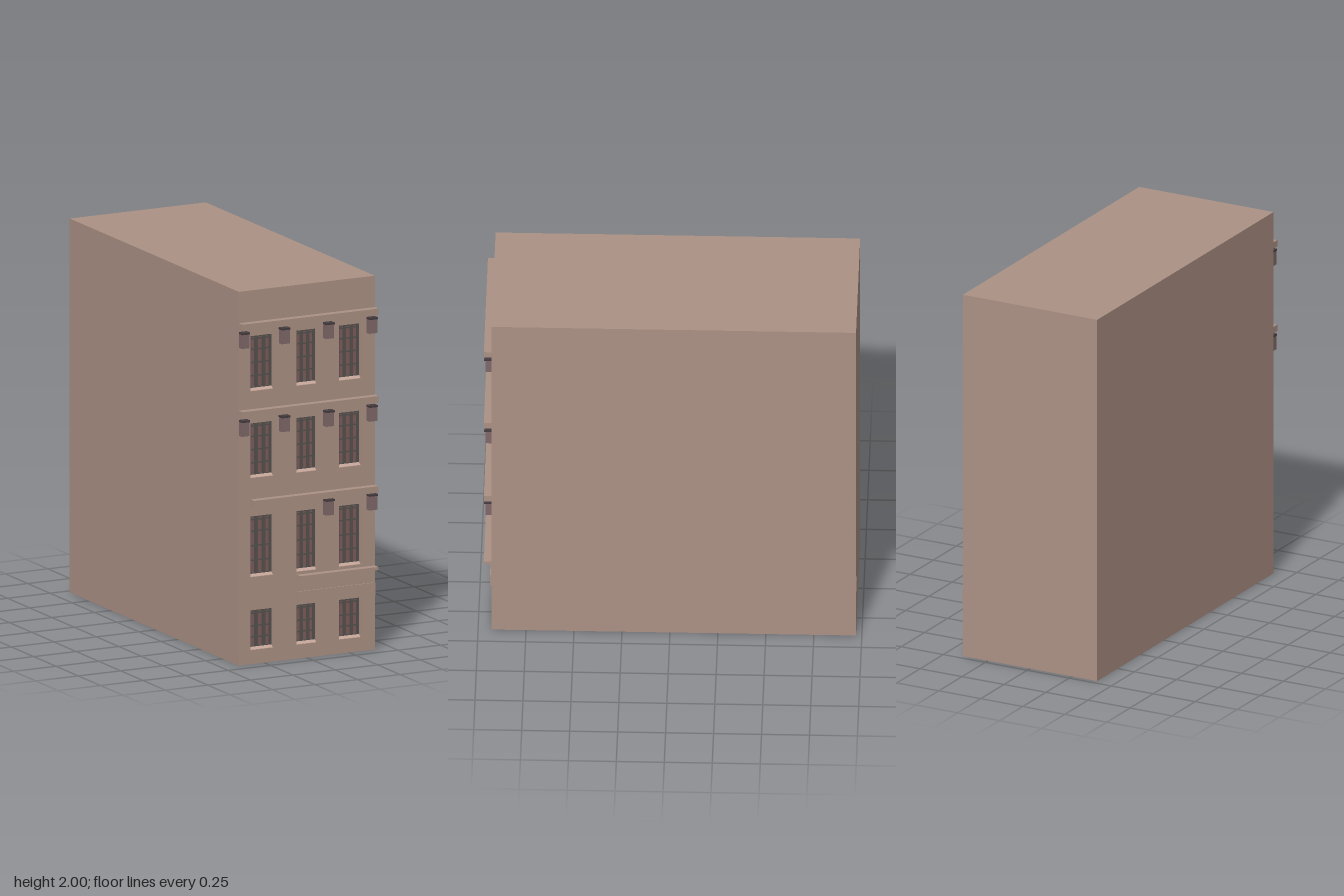
import * as THREE from 'three';

const mat = (color) => new THREE.MeshStandardMaterial({ color });
const brick = mat(0xac9185), sillStone = mat(0xc2a396), frameDark = mat(0x55524e);
const glassTint = mat(0x805a5a), bracketStone = mat(0x80696a), capDark = mat(0x453c3f);

const FRONT = 0.93, BACK = -0.97, RECESS = 0.035;

// Box given by its limits on each axis
function block(name, material, [x0, x1], [y0, y1], [z0, z1]) {
  const mesh = new THREE.Mesh(new THREE.BoxGeometry(x1 - x0, y1 - y0, z1 - z0), material);
  mesh.position.set((x0 + x1) / 2, (y0 + y1) / 2, (z0 + z1) / 2);
  mesh.name = name;
  return mesh;
}

const columns = [[-0.33, -0.2], [-0.06, 0.055], [0.19, 0.315]];
const floors = [
  { y: [0.075, 0.288], rails: [0.3, 0.58, 0.9] },
  { y: [0.465, 0.79], rails: [0.26, 0.5, 0.74, 0.93] },
  { y: [0.995, 1.288], rails: [0.26, 0.5, 0.74, 0.93] },
  { y: [1.46, 1.755], rails: [0.26, 0.5, 0.74, 0.93] },
];

function rectPath(path, [x0, x1], [y0, y1]) {
  path.moveTo(x0, y0);
  path.lineTo(x1, y0);
  path.lineTo(x1, y1);
  path.lineTo(x0, y1);
  path.closePath();
  return path;
}

// Front wall pierced by the window openings
function makeFacade() {
  const shape = rectPath(new THREE.Shape(), [-0.4, 0.4], [0, 2]);
  for (const floor of floors)
    for (const col of columns) shape.holes.push(rectPath(new THREE.Path(), col, floor.y));
  const geo = new THREE.ExtrudeGeometry(shape, { depth: RECESS, bevelEnabled: false });
  const mesh = new THREE.Mesh(geo, brick);
  mesh.position.z = FRONT - RECESS;
  mesh.name = 'facade';
  return mesh;
}

// Recessed glass, outer frame, glazing bars and a sloping sill
function makeWindow([x0, x1], { y: [y0, y1], rails }) {
  const g = new THREE.Group();
  g.name = 'window';
  const w = x1 - x0, h = y1 - y0, base = FRONT - RECESS;
  g.add(block('glass', glassTint, [x0, x1], [y0, y1], [base, base + 0.005]));

  const frameZ = [base, base + 0.02], barZ = [base, base + 0.014];
  g.add(block('frameSide', frameDark, [x0, x0 + 0.009], [y0, y1], frameZ));
  g.add(block('frameSide', frameDark, [x1 - 0.009, x1], [y0, y1], frameZ));
  g.add(block('frameTop', frameDark, [x0, x1], [y1 - 0.01, y1], frameZ));
  g.add(block('frameBottom', frameDark, [x0, x1], [y0, y0 + 0.018], frameZ));
  for (const t of [1 / 3, 2 / 3]) {
    const x = x0 + w * t;
    g.add(block('mullion', frameDark, [x - 0.007, x + 0.007], [y0, y1], frameZ));
  }
  for (const t of rails) {
    const y = y0 + h * t;
    g.add(block('glazingBar', frameDark, [x0, x1], [y - 0.004, y + 0.004], barZ));
  }

  // Wedge section in (z, y), swept across the opening
  const wedge = new THREE.Shape();
  wedge.moveTo(0, 0);
  wedge.lineTo(RECESS, 0);
  wedge.lineTo(RECESS, 0.002);
  wedge.lineTo(0.018, 0.016);
  wedge.lineTo(0, 0.016);
  wedge.closePath();
  const sill = new THREE.Mesh(
    new THREE.ExtrudeGeometry(wedge, { depth: w, bevelEnabled: false }), sillStone);
  sill.rotation.y = -Math.PI / 2;
  sill.position.set(x1, y0, base);
  sill.name = 'sill';
  g.add(sill);
  return g;
}

// Stepped bracket with a dark cap under a cornice
function makeBracket([x0, x1], top) {
  const g = new THREE.Group();
  g.name = 'bracket';
  g.add(block('bracketBody', bracketStone, [x0 + 0.001, x1 - 0.001], [top - 0.085, top - 0.01], [FRONT, 0.962]));
  g.add(block('bracketCap', capDark, [x0, x1], [top - 0.01, top], [FRONT, 0.968]));
  return g;
}

export function createModel() {
  const model = new THREE.Group();
  model.name = 'townhouse';

  // Main volume and front wall
  model.add(block('body', brick, [-0.4, 0.4], [0, 2], [BACK, FRONT - RECESS]));
  model.add(makeFacade());

  // Windows
  for (const floor of floors) for (const col of columns) model.add(makeWindow(col, floor));

  // Cornices
  model.add(block('topCornice', brick, [-0.4, 0.4], [1.797, 1.832], [FRONT, 0.97]));
  model.add(block('upperCornice', brick, [-0.4, 0.4], [1.328, 1.364], [FRONT, 0.97]));
  model.add(block('lowerCornice', brick, [-0.33, 0.4], [0.847, 0.882], [FRONT, 0.97]));

  // Shopfront ledge, panel and band
  model.add(block('shopLedge', brick, [-0.06, 0.4], [0.433, 0.45], [FRONT, 0.97]));
  model.add(block('shopPanel', brick, [-0.06, 0.4], [0.36, 0.433], [FRONT, 0.932]));
  model.add(block('shopBand', brick, [-0.06, 0.4], [0.29, 0.36], [FRONT, 0.938]));

  // Brackets below each cornice
  const bracketX = [[-0.4, -0.353], [-0.165, -0.115], [0.095, 0.145], [0.35, 0.4]];
  for (const top of [1.785, 1.315])
    for (const x of bracketX) model.add(makeBracket(x, top));
  for (const x of bracketX.slice(2)) model.add(makeBracket(x, 0.84));

  // Small plate on the rear wall
  model.add(block('rearPlate', brick, [0.31, 0.4], [0.29, 0.36], [BACK - 0.001, BACK]));
  return model;
}
